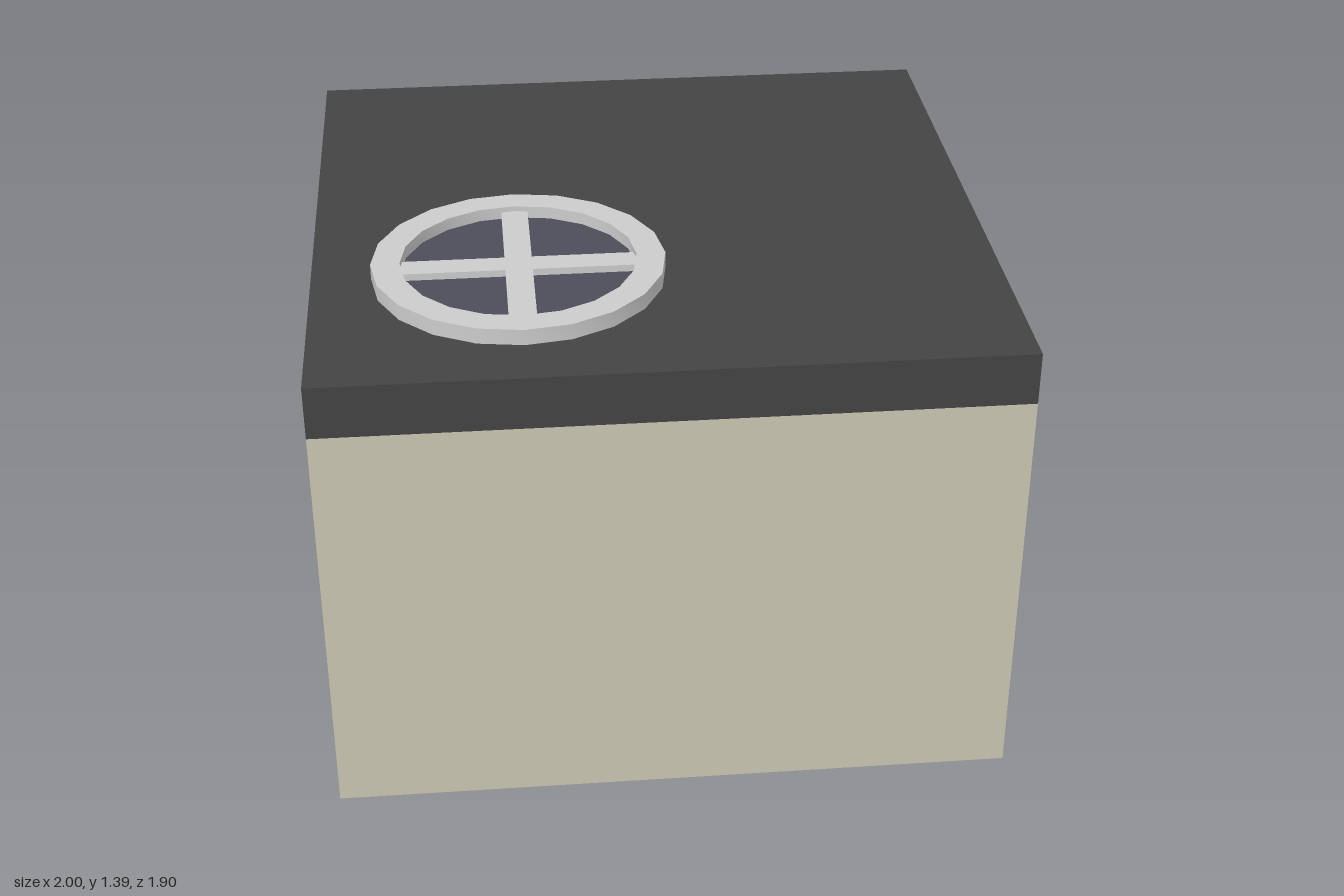
import * as THREE from 'three';
import { toCreasedNormals } from 'three/addons/utils/BufferGeometryUtils.js';

const material = (color) => new THREE.MeshStandardMaterial({ color });

export function createModel() {
  const model = new THREE.Group();
  const wall = material(0xcbc7b4);
  const roofDark = material(0x444444);
  const windowGlass = material(0x8db8c7);
  const frame = material(0xd2d2d6);
  const skylightGlass = material(0x4c4d5a);
  const grey = material(0xcccccc);

  const add = (name, geometry, mat, parent = model) => {
    const mesh = new THREE.Mesh(geometry, mat);
    mesh.name = name;
    parent.add(mesh);
    return mesh;
  };
  // Box given by its two extreme corners
  const box = (name, [x0, y0, z0], [x1, y1, z1], mat, parent) => {
    const mesh = add(name, new THREE.BoxGeometry(x1 - x0, y1 - y0, z1 - z0), mat, parent);
    mesh.position.set((x0 + x1) / 2, (y0 + y1) / 2, (z0 + z1) / 2);
    return mesh;
  };
  // Rectangle outline, usable as shape or hole
  const rect = (path, u0, v0, u1, v1) =>
    path.moveTo(u0, v0).lineTo(u1, v0).lineTo(u1, v1).lineTo(u0, v1).closePath();

  const half = 0.95, wallTop = 1.195, roofTop = 1.345;
  const inner = 0.71, outer = 0.9; // window recess depth along x
  const win = { z0: -0.715, z1: -0.12, y0: 0.23, y1: 0.955 };

  // Main block and the side wall with its window opening
  box('body', [-1, 0, -half], [inner, wallTop, half], wall);
  const outline = rect(new THREE.Shape(), -half, 0, half, wallTop);
  outline.holes.push(rect(new THREE.Path(), -win.z1, win.y0, -win.z0, win.y1));
  const sideWall = new THREE.ExtrudeGeometry(outline, { depth: outer - inner, bevelEnabled: false });
  sideWall.rotateY(Math.PI / 2).translate(inner, 0, 0);
  add('windowWall', sideWall, wall);

  // Window pane, recess floor and outer sill
  box('windowPane', [inner - 0.01, win.y0, win.z0], [inner + 0.004, win.y1, win.z1], windowGlass);
  box('recessFloor', [inner, win.y0 - 0.01, win.z0], [outer - 0.001, win.y0 + 0.002, win.z1], grey);
  box('windowSill', [outer, 0.115, win.z0], [1, win.y0, win.z1], wall);

  // Flat roof slab
  box('roof', [-1, wallTop, -half], [outer, roofTop, half], roofDark);

  // Round skylight: ring, cross bars and dark glass
  const skylight = new THREE.Group();
  skylight.name = 'skylight';
  skylight.position.set(-0.43, roofTop, 0.375);
  model.add(skylight);

  const sides = 20, ringHeight = 0.045;
  const profile = [[0.325, 0], [0.405, 0], [0.405, ringHeight], [0.325, ringHeight], [0.325, 0]]
    .map(([r, y]) => new THREE.Vector2(r, y));
  add('skylightRing', toCreasedNormals(new THREE.LatheGeometry(profile, sides), 0.6), frame, skylight);
  const pane = add('skylightGlass', new THREE.CylinderGeometry(0.33, 0.33, 0.01, sides), skylightGlass, skylight);
  pane.position.y = 0.005;
  box('skylightBarLong', [-0.0375, 0, -0.33], [0.0375, 0.03, 0.33], frame, skylight);
  for (const s of [-1, 1]) {
    const bar = box('skylightBarCross', [0.0375, 0, -0.0375], [0.33, 0.03, 0.0375], frame, skylight);
    bar.position.x *= s;
  }
  return model;
}
